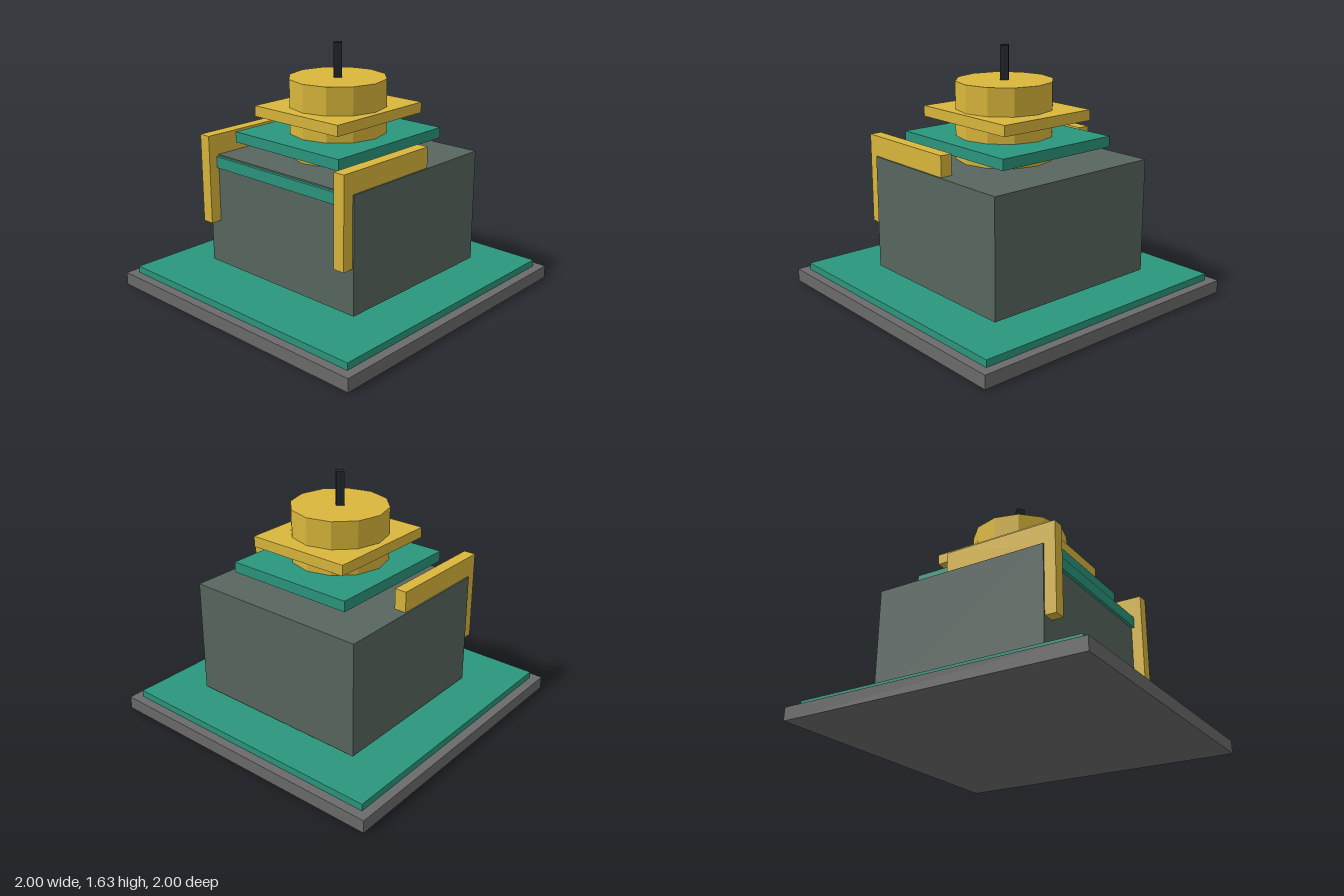
import * as THREE from 'three';

const material = (color) => new THREE.MeshStandardMaterial({ color, flatShading: true });

export function createModel() {
  const model = new THREE.Group();
  const grey = material(0x6b6b6b);
  const slate = material(0x58665f);
  const teal = material(0x2b967d);
  const yellow = material(0xdab73c);
  const black = material(0x22272a);

  const add = (name, geometry, mat) => {
    const mesh = new THREE.Mesh(geometry, mat);
    mesh.name = name;
    model.add(mesh);
    return mesh;
  };
  // Box given by its extents along each axis
  const block = (name, mat, [x0, x1], [y0, y1], [z0, z1]) =>
    add(name, new THREE.BoxGeometry(x1 - x0, y1 - y0, z1 - z0), mat)
      .position.set((x0 + x1) / 2, (y0 + y1) / 2, (z0 + z1) / 2);
  // Upright prism between two heights
  const column = (name, mat, radius, y0, y1, sides) =>
    add(name, new THREE.CylinderGeometry(radius, radius, y1 - y0, sides), mat)
      .position.set(0, (y0 + y1) / 2, 0);

  // Ground slab and lawn
  block('baseSlab', grey, [-1, 1], [0, 0.085], [-1, 1]);
  block('lawn', teal, [-0.94, 0.94], [0.085, 0.13], [-0.94, 0.94]);

  // Main block, hovering just above the lawn, with a trim strip across its front
  block('mainBlock', slate, [-0.635, 0.63], [0.15, 0.905], [-0.645, 0.545]);
  block('frontTrim', teal, [-0.54, 0.54], [0.82, 0.895], [0.53, 0.565]);

  // Drum, its two square collars and the mast
  column('drum', yellow, 0.317, 0.9, 1.41, 12);
  block('lowerCollar', teal, [-0.45, 0.445], [0.99, 1.06], [-0.5, 0.475]);
  block('upperCollar', yellow, [-0.36, 0.355], [1.16, 1.23], [-0.41, 0.385]);
  column('mast', black, 0.037, 1.4, 1.63, 4);

  // L-shaped brackets hooked over the front edge; profile in (z, y)
  const profile = new THREE.Shape([
    [-0.14, 0.905], [0.545, 0.905], [0.545, 0.45], [0.62, 0.45], [0.62, 1.04], [-0.14, 1.04],
  ].map(([z, y]) => new THREE.Vector2(-z, y)));
  const bracket = new THREE.ExtrudeGeometry(profile, { depth: 0.08, bevelEnabled: false });
  bracket.rotateY(Math.PI / 2);
  for (const [name, x] of [['rightBracket', -0.625], ['leftBracket', 0.54]]) {
    add(name, bracket, yellow).position.x = x;
  }

  return model;
}
